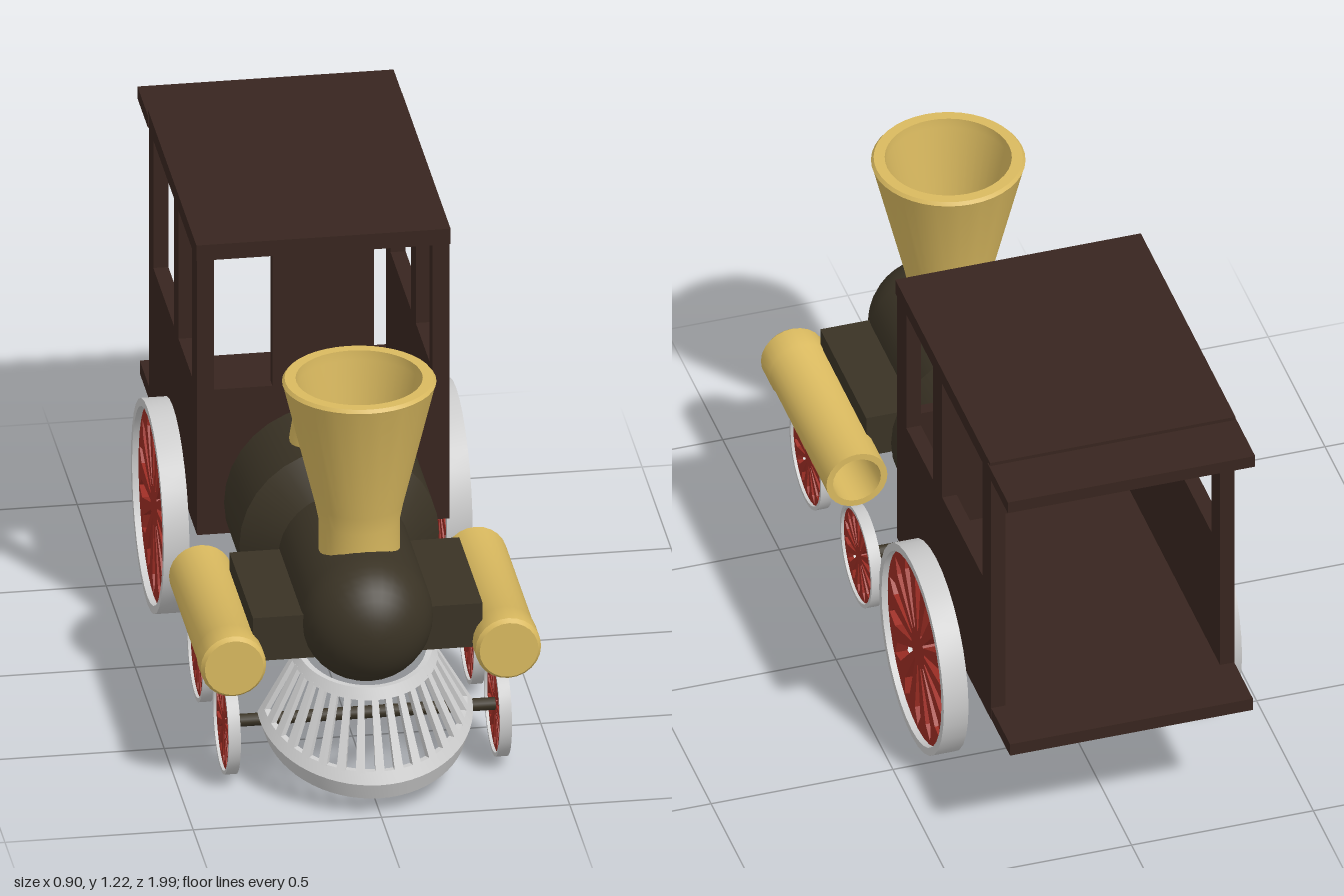
import * as THREE from 'three';
import { toCreasedNormals } from 'three/addons/utils/BufferGeometryUtils.js';

const paint = (color) => new THREE.MeshStandardMaterial({ color });
const IRON = paint(0x3a3325), WOOD = paint(0x38251f), GOLD = paint(0xd9b95f), RED = paint(0x9c2d24);
const STEEL = paint(0xcccccc);

export function createModel() {
  const model = new THREE.Group();

  function add(name, geometry, material, x = 0, y = 0, z = 0, parent = model) {
    const mesh = new THREE.Mesh(geometry, material);
    mesh.name = name;
    mesh.position.set(x, y, z);
    parent.add(mesh);
    return mesh;
  }
  const box = (name, w, h, d, x, y, z, mat) => add(name, new THREE.BoxGeometry(w, h, d), mat, x, y, z);
  // Turned part from [radius, height] pairs
  const turned = (points, sides = 32) => toCreasedNormals(
    new THREE.LatheGeometry(points.map(([r, h]) => new THREE.Vector2(r, h)), sides), 0.6);
  // Quarter-ellipse profile closing a turned part
  const domeProfile = (r, h0, h1, n = 10) => Array.from({ length: n + 1 }, (_, i) => {
    const a = (i / n) * Math.PI / 2;
    return [i === n ? 0 : r * Math.cos(a), h0 + (h1 - h0) * Math.sin(a)];
  });
  const polygon = (Type, pts) => new Type(pts.map(([x, y]) => new THREE.Vector2(x, y)));
  const rect = (Type, x0, y0, x1, y1) => polygon(Type, [[x0, y0], [x1, y0], [x1, y1], [x0, y1]]);
  const extrude = (shape, depth) => new THREE.ExtrudeGeometry(shape, { depth, bevelEnabled: false, curveSegments: 32 });

  // Boiler: firebox drum, tapered shoulder, narrow barrel and domed nose
  const boiler = turned([[0, -0.03], [0.175, -0.03], [0.265, 0.005], [0.265, 0.27], [0.175, 0.355],
    ...domeProfile(0.175, 0.74, 0.905)]).rotateX(Math.PI / 2);
  add('boiler', boiler, IRON, 0, 0.465, 0);
  box('runningBoard', 0.61, 0.125, 0.405, 0, 0.4275, 0.5625, IRON);

  // Steam dome and flared chimney
  add('steamDome', turned([[0.12, 0.66], [0.112, 0.72], [0.107, 0.75], ...domeProfile(0.107, 0.80, 0.915)]),
    GOLD, 0, 0, 0.155);
  add('chimney', turned([[0.107, 0.58], [0.107, 0.69], [0.117, 0.74], [0.2, 1.08], [0.203, 1.088], [0.196, 1.097],
    [0.167, 1.097], [0.165, 1.07], [0.092, 0.74], [0.088, 0.6]], 40), GOLD, 0, 0, 0.615);

  // Cab walls with windows
  const front = rect(THREE.Shape, -0.335, 0.37, 0.335, 1.21);
  for (const [a, b] of [[-0.29, -0.135], [0.135, 0.29]]) front.holes.push(rect(THREE.Path, a, 0.79, b, 1.17));
  add('cabFront', extrude(front, 0.035), WOOD, 0, 0, -0.04);
  const side = rect(THREE.Shape, 0.005, 0.37, 0.835, 1.21);
  for (const [a, b] of [[0.09, 0.325], [0.405, 0.76]]) side.holes.push(rect(THREE.Path, a, 0.79, b, 1.17));
  const sideGeometry = extrude(side, 0.04).rotateY(Math.PI / 2);
  add('cabSideLeft', sideGeometry, WOOD, 0.295);
  add('cabSideRight', sideGeometry, WOOD, -0.335);
  // Roof and floor run on past the cab as a rear platform
  box('roof', 0.675, 0.045, 0.835, 0, 1.1925, -0.4175, WOOD);
  box('rearRoof', 0.68, 0.035, 0.18, 0, 1.1875, -0.91, WOOD);
  box('floor', 0.668, 0.037, 0.99, 0, 0.3885, -0.505, WOOD);

  // Piston cylinders, closed in front and hollow behind
  const piston = turned([[0.066, 0.42], [0.066, 0.25], [0.084, 0.25], [0.084, 0.74], [0.087, 0.745],
    [0.087, 0.818], [0.078, 0.83], [0, 0.83]], 24).rotateX(Math.PI / 2);
  const pistonBack = new THREE.CircleGeometry(0.067, 24).rotateY(Math.PI);
  for (const s of [1, -1]) {
    add('pistonCylinder', piston, GOLD, s * 0.365, 0.38, 0);
    add('pistonBack', pistonBack, GOLD, s * 0.365, 0.38, 0.42);
  }

  // Wheel: steel tyre around a red disc pierced with kite-shaped openings
  function wheel(name, radius, width, x, y, z) {
    const group = new THREE.Group();
    group.name = name;
    group.position.set(x, y, z);
    model.add(group);
    const inner = radius * 0.925, w = width / 2;
    const tyre = turned([[inner, -w], [radius, -w], [radius, w], [inner, w], [inner, -w]]).rotateZ(Math.PI / 2);
    add('tyre', tyre, STEEL, 0, 0, 0, group);
    const disc = new THREE.Shape().absarc(0, 0, inner + 0.002, 0, Math.PI * 2);
    for (let i = 0; i < 14; i++) {
      const a = ((i + 0.5) / 14) * Math.PI * 2;
      const at = (r, off) => [radius * (r * Math.cos(a) - off * Math.sin(a)), radius * (r * Math.sin(a) + off * Math.cos(a))];
      disc.holes.push(polygon(THREE.Path, [at(0.2, -0.012), at(0.74, -0.085), at(0.89, 0), at(0.74, 0.085), at(0.2, 0.012)]));
    }
    const depth = width * 0.5;
    add('spokes', extrude(disc, depth).translate(0, 0, -depth / 2).rotateY(Math.PI / 2), RED, 0, 0, 0, group);
  }
  for (const [name, radius, width, x, y, z, axle] of [
    ['drivingWheel', 0.285, 0.068, 0.376, 0.285, -0.375, 0.016],
    ['middleWheel', 0.14, 0.032, 0.36, 0.15, 0.225, 0.017],
    ['frontWheel', 0.14, 0.032, 0.36, 0.15, 0.67, 0.017],
  ]) {
    for (const s of [1, -1]) wheel(name, radius, width, s * x, y, z);
    add('axle', new THREE.CylinderGeometry(axle, axle, x * 2, 12).rotateZ(Math.PI / 2), IRON, 0, y, z);
  }

  // Cowcatcher: a half cone leaning forward; t runs from lower edge (0) to upper edge (1)
  const guard = new THREE.Group();
  guard.name = 'cowcatcher';
  model.add(guard);
  function guardPoint(a, t, inset) {
    const r = (t < 0 ? 0.285 + 0.015 * t : 0.285 - 0.105 * t) - inset;
    const c = Math.cos(a);
    const y = t < 0 ? 0.19 - 0.1 * c + 0.045 * t : 0.19 - 0.1 * c + t * (0.175 + 0.055 * c);
    return [r * Math.sin(a), y, 0.708 - 0.01 * Math.max(t, 0) + r * c];
  }
  // Solid patch of the cone between two angles and two heights
  function guardPatch(name, a0, a1, t0, t1, steps) {
    const pos = [], index = [];
    for (let i = 0; i <= steps; i++) {
      const a = a0 + ((a1 - a0) * i) / steps;
      for (const [t, inset] of [[t0, 0], [t1, 0], [t1, 0.016], [t0, 0.016]]) pos.push(...guardPoint(a, t, inset));
    }
    for (let i = 0; i < steps; i++) {
      for (let k = 0; k < 4; k++) {
        const p = i * 4 + k, q = i * 4 + ((k + 1) % 4);
        index.push(p, p + 4, q, q, p + 4, q + 4);
      }
    }
    const e = steps * 4;
    index.push(0, 1, 2, 0, 2, 3, e, e + 2, e + 1, e, e + 3, e + 2);
    const geometry = new THREE.BufferGeometry();
    geometry.setAttribute('position', new THREE.Float32BufferAttribute(pos, 3));
    geometry.setIndex(index);
    add(name, toCreasedNormals(geometry, 0.6), STEEL, 0, 0, 0, guard);
  }
  const H = Math.PI / 2, SLATS = 17;
  guardPatch('lowerLip', -H, H, -1, 0, 32);
  guardPatch('lowerBand', -H, H, 0, 0.14, 32);
  guardPatch('upperBand', -H, H, 0.87, 1, 32);
  for (let i = 0; i < SLATS; i++) {
    const a = -H + 0.045 + ((2 * H - 0.09) * i) / (SLATS - 1);
    guardPatch('slat', a - 0.045, a + 0.045, 0.12, 0.89, 2);
  }
  return model;
}
